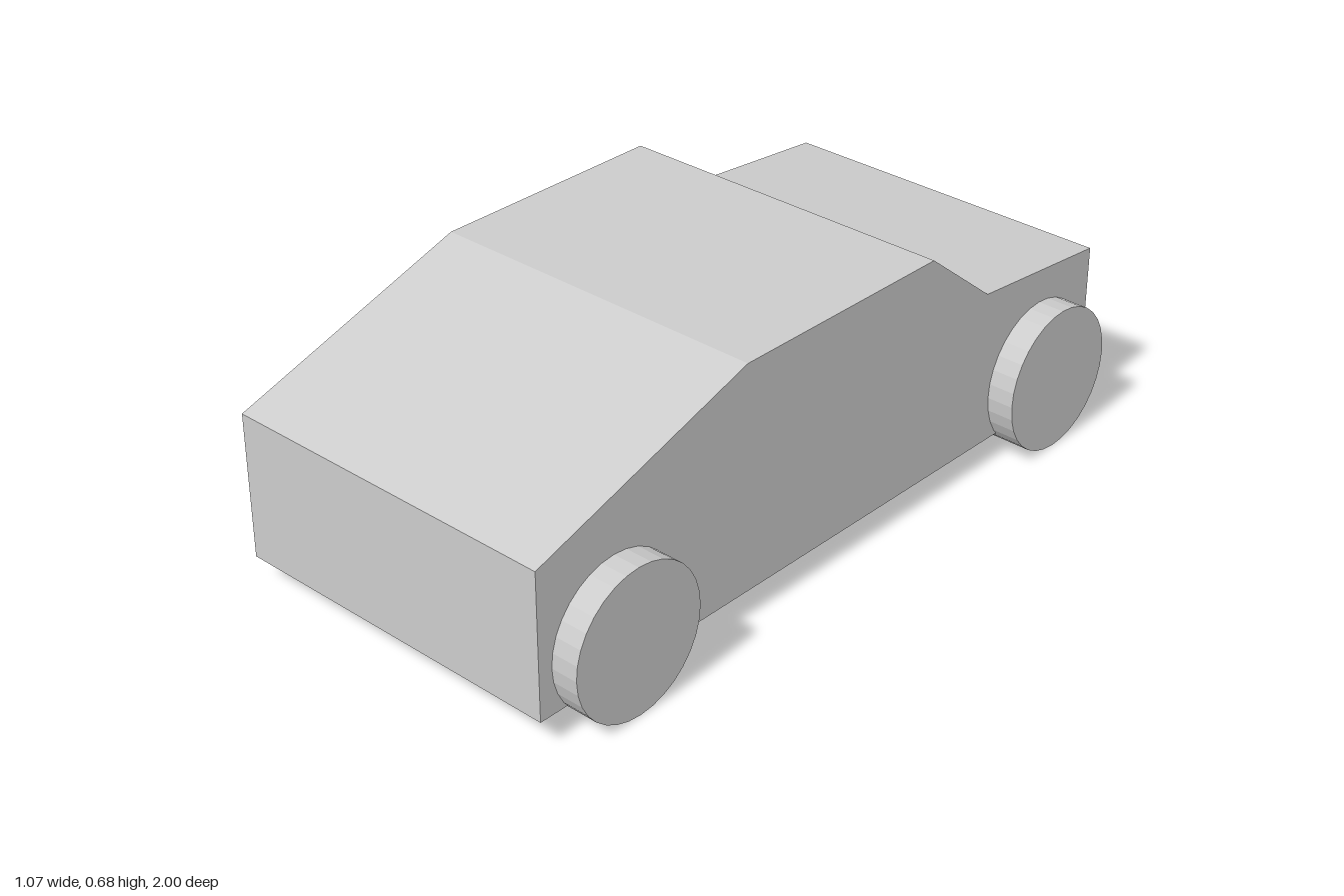
import * as THREE from 'three';

export function createModel() {
  const model = new THREE.Group();
  model.name = 'car';
  const material = new THREE.MeshStandardMaterial({ color: 0xcccccc, flatShading: true });

  // Body: side profile as (z, y), extruded across the width
  const profile = [
    [1, 0.075], [1, 0.467], [0.333, 0.685], [-0.333, 0.685],
    [-0.56, 0.505], [-1, 0.466], [-1, 0.075],
  ].map(([z, y]) => new THREE.Vector2(z, y));
  const right = -0.495, left = 0.46;
  const bodyGeometry = new THREE.ExtrudeGeometry(new THREE.Shape(profile), {
    depth: left - right, bevelEnabled: false,
  });
  bodyGeometry.rotateY(-Math.PI / 2).translate(left, 0, 0);
  const body = new THREE.Mesh(bodyGeometry, material);
  body.name = 'body';
  model.add(body);

  // Each wheel pair is one full-width roller
  const radius = 0.196;
  const wheelGeometry = new THREE.CylinderGeometry(radius, radius, 1.068, 32).rotateZ(Math.PI / 2);
  for (const [name, z] of [['frontWheels', 0.765], ['rearWheels', -0.785]]) {
    const wheels = new THREE.Mesh(wheelGeometry, material);
    wheels.name = name;
    wheels.position.set(0, 0.198, z);
    model.add(wheels);
  }

  return model;
}
